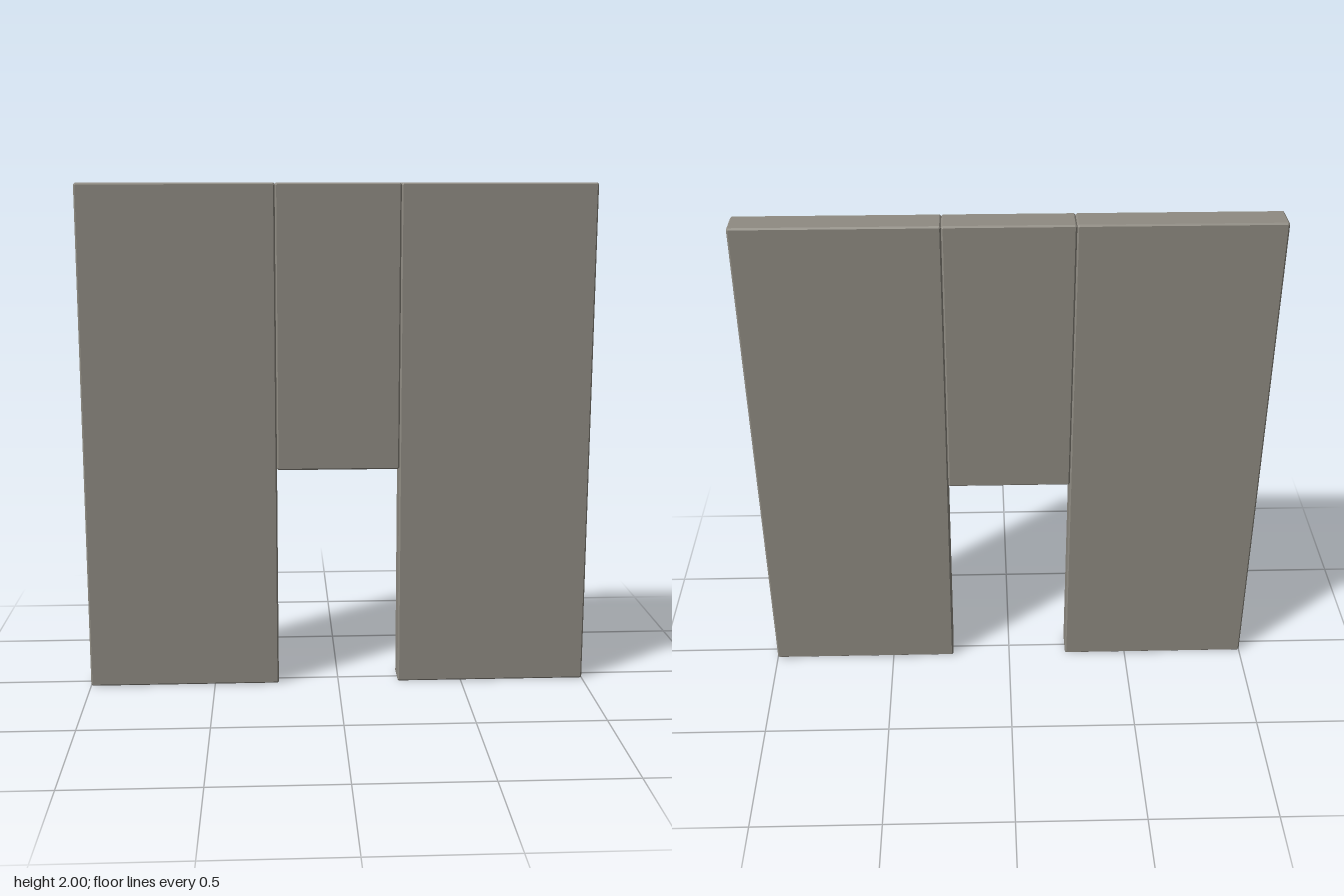
import * as THREE from 'three';

const DEPTH = 0.115; // panel thickness
const BEVEL = 0.006; // chamfer on every edge

// Flat slab with all edges chamfered, given by its front rectangle
function panel(name, x0, x1, y0, y1, material) {
  const c = BEVEL;
  const shape = new THREE.Shape([
    [x0 + c, y0], [x1 - c, y0], [x1, y0 + c], [x1, y1 - c],
    [x1 - c, y1], [x0 + c, y1], [x0, y1 - c], [x0, y0 + c],
  ].map(([x, y]) => new THREE.Vector2(x, y)));
  const geometry = new THREE.ExtrudeGeometry(shape, {
    depth: DEPTH - 2 * BEVEL,
    bevelEnabled: true,
    bevelThickness: BEVEL,
    bevelSize: BEVEL,
    bevelOffset: -BEVEL,
    bevelSegments: 1,
  });
  geometry.translate(0, 0, -DEPTH / 2 + BEVEL);
  const mesh = new THREE.Mesh(geometry, material);
  mesh.name = name;
  return mesh;
}

export function createModel() {
  const group = new THREE.Group();
  group.name = 'wallWithDoorway';
  const material = new THREE.MeshStandardMaterial({ color: 0x8f8b82, flatShading: true });
  const seam = 0.242;

  // Full-height panels either side of the opening
  group.add(panel('rightPanel', -1, -seam, 0, 2, material));
  group.add(panel('leftPanel', seam, 1, 0, 2, material));
  // Short panel above the opening
  group.add(panel('lintelPanel', -seam, seam, 0.885, 2, material));
  return group;
}
